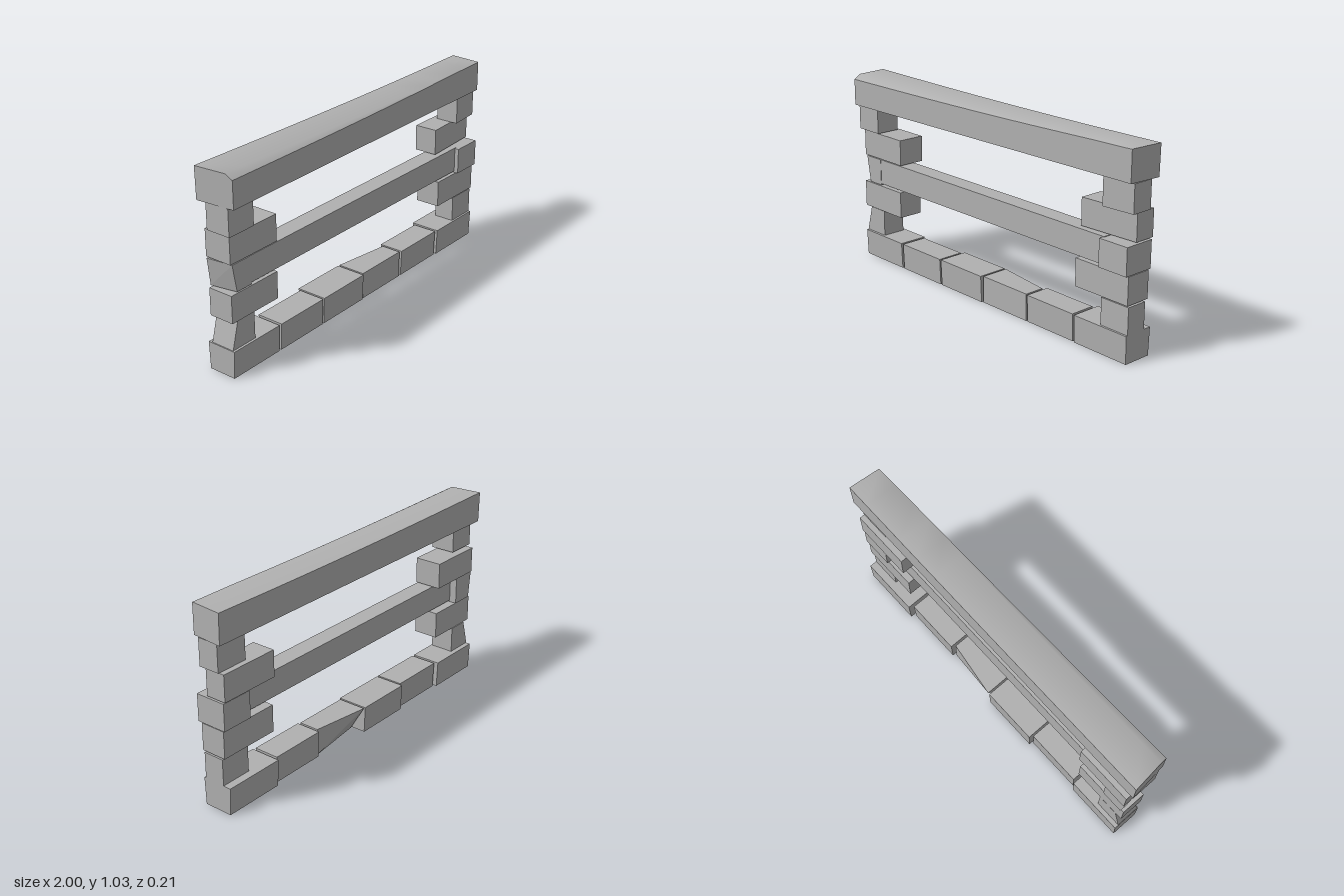
import * as THREE from 'three';
import { toCreasedNormals } from 'three/addons/utils/BufferGeometryUtils.js';

const stone = new THREE.MeshStandardMaterial({ color: 0xb0b0b0 });
stone.name = 'grey stone';

// Hewn block between two corners; skew may shift each corner, given its side signs
function block(name, [x0, x1], [y0, y1], [z0, z1], skew) {
  const box = new THREE.BoxGeometry(x1 - x0, y1 - y0, z1 - z0);
  const geo = box.toNonIndexed();
  const pos = geo.attributes.position;
  const v = new THREE.Vector3();
  for (let i = 0; i < pos.count; i++) {
    v.fromBufferAttribute(pos, i);
    const sx = Math.sign(v.x), sy = Math.sign(v.y), sz = Math.sign(v.z);
    v.x += (x0 + x1) / 2;
    v.y += (y0 + y1) / 2;
    v.z += (z0 + z1) / 2;
    if (skew) skew(v, sx, sy, sz);
    pos.setXYZ(i, v.x, v.y, v.z);
  }
  geo.computeVertexNormals();
  const mesh = new THREE.Mesh(geo, stone);
  mesh.name = name;
  return mesh;
}

// Long top beam: five-sided section whose front chamfer fades toward the left end
function lintelGeometry() {
  const steps = 16, verts = [], index = [], n = 5;
  for (let i = 0; i <= steps; i++) {
    const t = i / steps, x = -1 + 2 * t;
    const front = 0.105 - 0.035 * t;
    const bevel = 0.002 + 0.036 * Math.max(0, 1 - t * 1.15);
    const top = 1.04 - 0.012 * Math.sin(Math.PI * Math.min(1, t * 0.85));
    const section = [
      [0.877, front], [top - bevel * 0.6, front], [top, front - bevel],
      [top, -0.103], [0.877, -0.1],
    ];
    for (const [y, z] of section) {
      // ends taper inward toward the front
      verts.push(x * (1 - 0.018 * (z + 0.103) / 0.2), y, z);
    }
  }
  for (let i = 0; i < steps; i++) {
    for (let j = 0; j < n; j++) {
      const a = i * n + j, b = i * n + (j + 1) % n, c = a + n, d = b + n;
      index.push(a, c, b, b, c, d);
    }
  }
  const e = steps * n;
  for (let j = 1; j < n - 1; j++) {
    index.push(0, j, j + 1);
    index.push(e, e + j + 1, e + j);
  }
  const geo = new THREE.BufferGeometry();
  geo.setAttribute('position', new THREE.Float32BufferAttribute(verts, 3));
  geo.setIndex(index);
  return toCreasedNormals(geo, 0.7);
}

export function createModel() {
  const frame = new THREE.Group();
  frame.name = 'stoneWindowFrame';

  // Sill: six blocks in a row
  const sill = new THREE.Group();
  sill.name = 'sill';
  const lean = (v, sx, sy, sz) => { if (sy > 0) v.z += sz * 0.006; };
  const spans = [
    [[-0.972, -0.66], [-0.095, 0.055]], [[-0.645, -0.335], [-0.08, 0.055]],
    [[-0.325, -0.01], [-0.1, 0.055]], [[0, 0.315], [-0.1, 0.05]],
    [[0.327, 0.637], [-0.075, 0.05]], [[0.652, 0.98], [-0.098, 0.055]],
  ];
  spans.forEach(([xs, zs], i) => {
    // the fourth block has a twisted back face
    const twist = (v, sx, sy, sz) => {
      if (sz < 0 && sx > 0) v.z = -0.06;
      if (sz < 0 && sx < 0) v.z = sy > 0 ? -0.105 : -0.02;
    };
    sill.add(block(`sillStone${i + 1}`, xs, [0.006, 0.149], zs, i === 3 ? twist : lean));
  });

  // Right jamb, on the -x side
  const rightJamb = new THREE.Group();
  rightJamb.name = 'rightJamb';
  rightJamb.add(
    block('slantedStone', [-0.97, -0.82], [0.152, 0.292], [-0.078, 0.052],
      (v, sx, sy) => { if (sx < 0 && sy > 0) v.x = -0.932; }),
    block('lowerLongStone', [-0.972, -0.662], [0.296, 0.438], [-0.078, 0.058]),
    block('middleStone', [-0.972, -0.835], [0.442, 0.586], [-0.085, 0.055],
      (v, sx, sy, sz) => {
        if (sx < 0 && sz > 0) v.x = sy > 0 ? -0.955 : -0.93;
        else if (sx < 0 && sy < 0) v.x = -0.955;
      }),
    block('upperLongStone', [-0.967, -0.657], [0.591, 0.73], [-0.092, 0.056]),
    block('topStone', [-0.985, -0.825], [0.738, 0.877], [-0.06, 0.074]),
  );

  // Left jamb, on the +x side
  const leftJamb = new THREE.Group();
  leftJamb.name = 'leftJamb';
  leftJamb.add(
    block('lowerStone', [0.812, 0.98], [0.149, 0.287], [-0.062, 0.05]),
    block('lowerLongStone', [0.652, 0.98], [0.296, 0.438], [-0.078, 0.058]),
    block('middleStone', [0.812, 0.982], [0.442, 0.583], [-0.088, 0.076]),
    block('upperLongStone', [0.655, 0.98], [0.591, 0.73], [-0.097, 0.03],
      (v, sx, sy, sz) => { if (sx > 0 && sz > 0) v.z = 0.013; }),
    block('topStone', [0.81, 0.985], [0.73, 0.872], [-0.068, 0.058],
      (v, sx, sy, sz) => { if (sx > 0 && sz > 0) v.z = 0.045; }),
  );

  // Crossbar between the middle stones
  const crossbar = block('crossbar', [-0.84, 0.82], [0.45, 0.586], [-0.045, 0.053]);

  const lintel = new THREE.Mesh(lintelGeometry(), stone);
  lintel.name = 'lintel';

  frame.add(sill, rightJamb, leftJamb, crossbar, lintel);
  return frame;
}
